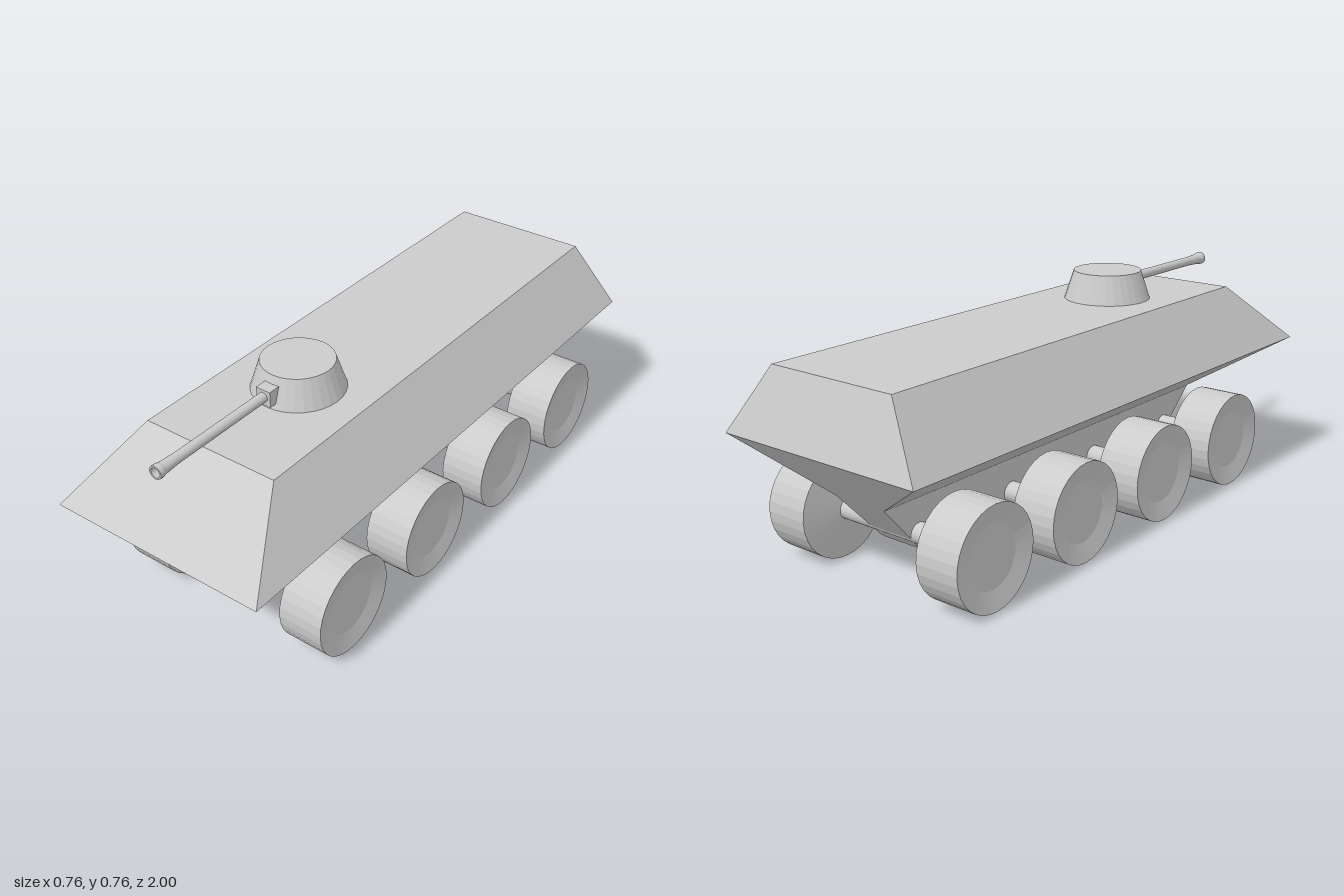
import * as THREE from 'three';

const flat = new THREE.MeshStandardMaterial({ color: 0xcccccc, flatShading: true });
const smooth = new THREE.MeshStandardMaterial({ color: 0xcccccc });

function add(parent, name, geometry, material, x = 0, y = 0, z = 0) {
  const mesh = new THREE.Mesh(geometry, material);
  mesh.name = name;
  mesh.position.set(x, y, z);
  parent.add(mesh);
  return mesh;
}

const lathe = (points, sides) =>
  new THREE.LatheGeometry(points.map(([r, h]) => new THREE.Vector2(r, h)), sides);

// Closed solid from rectangular rings [y, half width, back z, front z], bottom to top
function ringSolid(rings) {
  const positions = [];
  const corners = rings.map(([y, w, back, front]) =>
    [[w, y, front], [w, y, back], [-w, y, back], [-w, y, front]]);
  const quad = (a, b, c, d) => positions.push(...a, ...b, ...c, ...a, ...c, ...d);
  for (let r = 0; r + 1 < corners.length; r++) {
    const lo = corners[r], hi = corners[r + 1];
    for (let i = 0; i < 4; i++) {
      const j = (i + 1) % 4;
      quad(lo[i], lo[j], hi[j], hi[i]);
    }
  }
  quad(...corners[corners.length - 1]);
  quad(...corners[0].slice().reverse());
  const geometry = new THREE.BufferGeometry();
  geometry.setAttribute('position', new THREE.Float32BufferAttribute(positions, 3));
  geometry.computeVertexNormals();
  return geometry;
}

// Armoured body with a narrow keel whose lower edges are rounded
function hullGeometry() {
  const rings = [];
  const radius = 0.022, steps = 6;
  for (let i = 0; i <= steps; i++) {
    const a = (i / steps) * 1.47;
    const y = 0.105 + radius * (1 - Math.cos(a));
    const t = (y - 0.105) / 0.173;
    rings.push([y, 0.06 + radius * Math.sin(a),
      THREE.MathUtils.lerp(-0.682, -0.84, t), THREE.MathUtils.lerp(0.58, 0.735, t)]);
  }
  rings.push([0.278, 0.097, -0.84, 0.735]);
  rings.push([0.453, 0.373, -1, 1]);
  rings.push([0.667, 0.236, -0.93, 0.75]);
  return ringSolid(rings);
}

export function createModel() {
  const model = new THREE.Group();
  model.name = 'armouredVehicle';

  add(model, 'hull', hullGeometry(), flat);

  // Turret, gun mount and flared barrel with an open bore
  const turret = new THREE.Group();
  turret.name = 'turret';
  model.add(turret);
  add(turret, 'turretBody', new THREE.CylinderGeometry(0.115, 0.147, 0.097, 32), flat, 0, 0.7145, 0.35);
  add(turret, 'gunMount', new THREE.BoxGeometry(0.052, 0.052, 0.05), flat, 0, 0.711, 0.487);
  const barrel = add(turret, 'gunBarrel', lathe([
    [0, 0], [0.016, 0], [0.016, 0.37], [0.019, 0.43], [0.022, 0.44], [0.022, 0.455],
    [0.016, 0.455], [0.016, 0.37], [0, 0.37],
  ], 24), flat, 0, 0.712, 0.5);
  barrel.rotation.x = Math.PI / 2;

  // Four axles, each with a pair of wheels: coned inside, dished outside
  const axle = new THREE.CylinderGeometry(0.033, 0.033, 0.44, 32).rotateZ(Math.PI / 2);
  const wheel = lathe([
    [0, 0.211], [0.033, 0.211], [0.163, 0.23], [0.163, 0.382], [0.1, 0.368], [0, 0.368],
  ], 32);
  for (const z of [0.588, 0.158, -0.275, -0.693]) {
    add(model, 'axle', axle, smooth, 0, 0.163, z);
    for (const side of [1, -1]) {
      const mesh = add(model, side > 0 ? 'leftWheel' : 'rightWheel', wheel, flat, 0, 0.163, z);
      mesh.rotation.z = -side * Math.PI / 2;
    }
  }
  return model;
}
